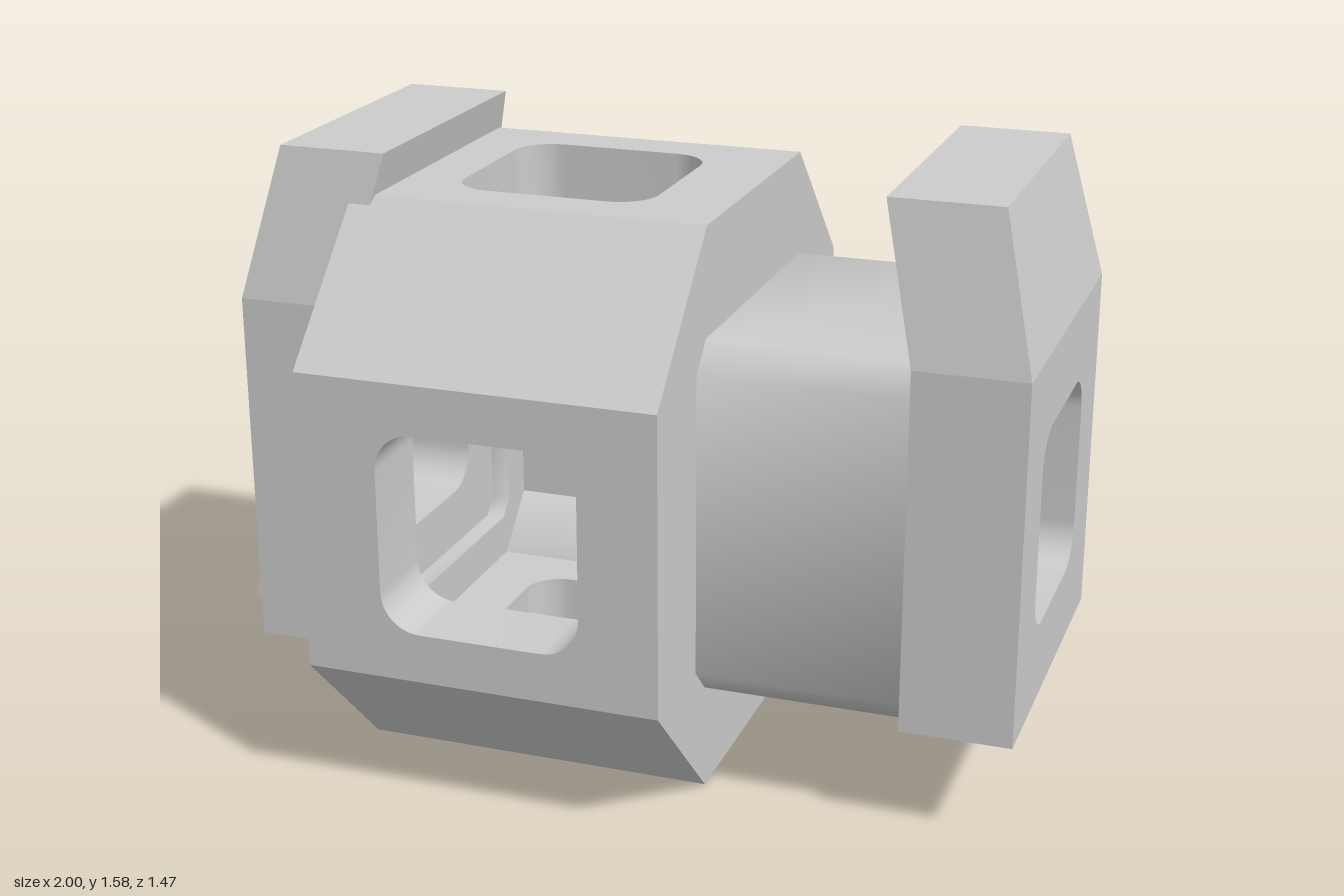
import * as THREE from 'three';
import { toCreasedNormals } from 'three/addons/utils/BufferGeometryUtils.js';

const CY = 0.737; // height of the main axis
const grey = new THREE.MeshStandardMaterial({ color: 0xcccccc, side: THREE.DoubleSide });
const purple = new THREE.MeshStandardMaterial({ color: 0x3c22b0 });

function polygon(points, Type = THREE.Shape) {
  return new Type(points.map(([x, y]) => new THREE.Vector2(x, y)));
}

// Square of half width h with every corner cut off by c
function cutSquare(h, c, Type) {
  const k = h - c;
  return polygon([[h, -k], [h, k], [k, h], [-k, h], [-h, k], [-h, -k], [-k, -h], [k, -h]], Type);
}

// Square window with round corners
function windowPath(cx, cy) {
  const h = 0.258, r = 0.1, k = h - r;
  const path = new THREE.Path();
  [[k, k], [-k, k], [-k, -k], [k, -k]].forEach(([x, y], i) =>
    path.absarc(cx + x, cy + y, r, i * Math.PI / 2, (i + 1) * Math.PI / 2));
  path.closePath();
  return path;
}

function extrude(shape, depth) {
  const g = new THREE.ExtrudeGeometry(shape, { depth, bevelEnabled: false, curveSegments: 6 });
  return toCreasedNormals(g, 0.9);
}

// Extrude along x between x0 and x1
function extrudeX(shape, x0, x1) {
  return extrude(shape, x1 - x0).rotateY(Math.PI / 2).translate(x0, 0, 0);
}

function addMesh(parent, name, geometry, material = grey) {
  const mesh = new THREE.Mesh(geometry, material);
  mesh.name = name;
  parent.add(mesh);
  return mesh;
}

export function createModel() {
  const model = new THREE.Group();
  model.name = 'model';

  // Hollow octagonal housing: four windowed walls and four diagonal corners
  const housing = new THREE.Group();
  housing.name = 'octagonalHousing';
  housing.position.y = CY;
  model.add(housing);
  const x0 = -0.717, x1 = 0.203, R = 0.737, s = 0.385, cavity = 0.525, bore = 0.41;
  const wall = polygon([[x0, -s], [x1, -s], [x1, s], [x0, s]]);
  wall.holes.push(windowPath(-0.255, 0));
  const wallGeometry = extrude(wall, R - cavity).translate(0, 0, cavity);
  const corner = polygon([[s, cavity], [cavity, s], [R, s], [s, R]]);
  const cornerGeometry = extrudeX(corner, x0, x1);
  for (let i = 0; i < 4; i++) {
    addMesh(housing, 'windowWall', wallGeometry).rotation.x = i * Math.PI / 2;
    addMesh(housing, 'housingCorner', cornerGeometry).rotation.x = i * Math.PI / 2;
  }

  // Rings closing both ends of the housing around the bore
  const ring = cutSquare(cavity, cavity - s);
  ring.holes.push(cutSquare(bore, 0.04, THREE.Path));
  addMesh(housing, 'endRing', extrudeX(ring, x0, x0 + 0.05));
  addMesh(housing, 'endRing', extrudeX(ring, x1 - 0.05, x1));

  // Hollow connecting tube with softly shaded corners
  const tube = cutSquare(0.46, 0.07);
  tube.holes.push(cutSquare(bore, 0.04, THREE.Path));
  addMesh(model, 'connectingTube', extrudeX(tube, x1, 0.72)).position.y = CY;

  // End plates, each with a window and a tapered top leaning inward
  for (const side of [-1, 1]) {
    const plate = new THREE.Group();
    plate.name = side > 0 ? 'leftEndPlate' : 'rightEndPlate';
    model.add(plate);
    const face = polygon([[-0.46, 0.276], [0.46, 0.276], [0.46, 1.197], [-0.46, 1.197]]);
    face.holes.push(windowPath(0, CY));
    const from = side > 0 ? 0.72 : -1;
    addMesh(plate, 'plateBody', extrudeX(face, from, from + 0.28));

    const top = new THREE.BoxGeometry(0.28, 0.381, 0.92).translate(side * 0.86, 1.3875, 0).toNonIndexed();
    const p = top.attributes.position;
    for (let i = 0; i < p.count; i++) {
      if (p.getY(i) > 1.3) {
        p.setX(i, p.getX(i) - side * 0.09);
        p.setZ(i, p.getZ(i) * 0.38 / 0.46);
      }
    }
    top.computeVertexNormals();
    addMesh(plate, 'plateTop', top);
  }

  // Coloured rod across the bottom of the left window
  const rod = new THREE.CylinderGeometry(0.025, 0.025, 0.52, 16).rotateX(Math.PI / 2);
  addMesh(model, 'crossRod', rod, purple).position.set(0.89, 0.488, 0);

  return model;
}
